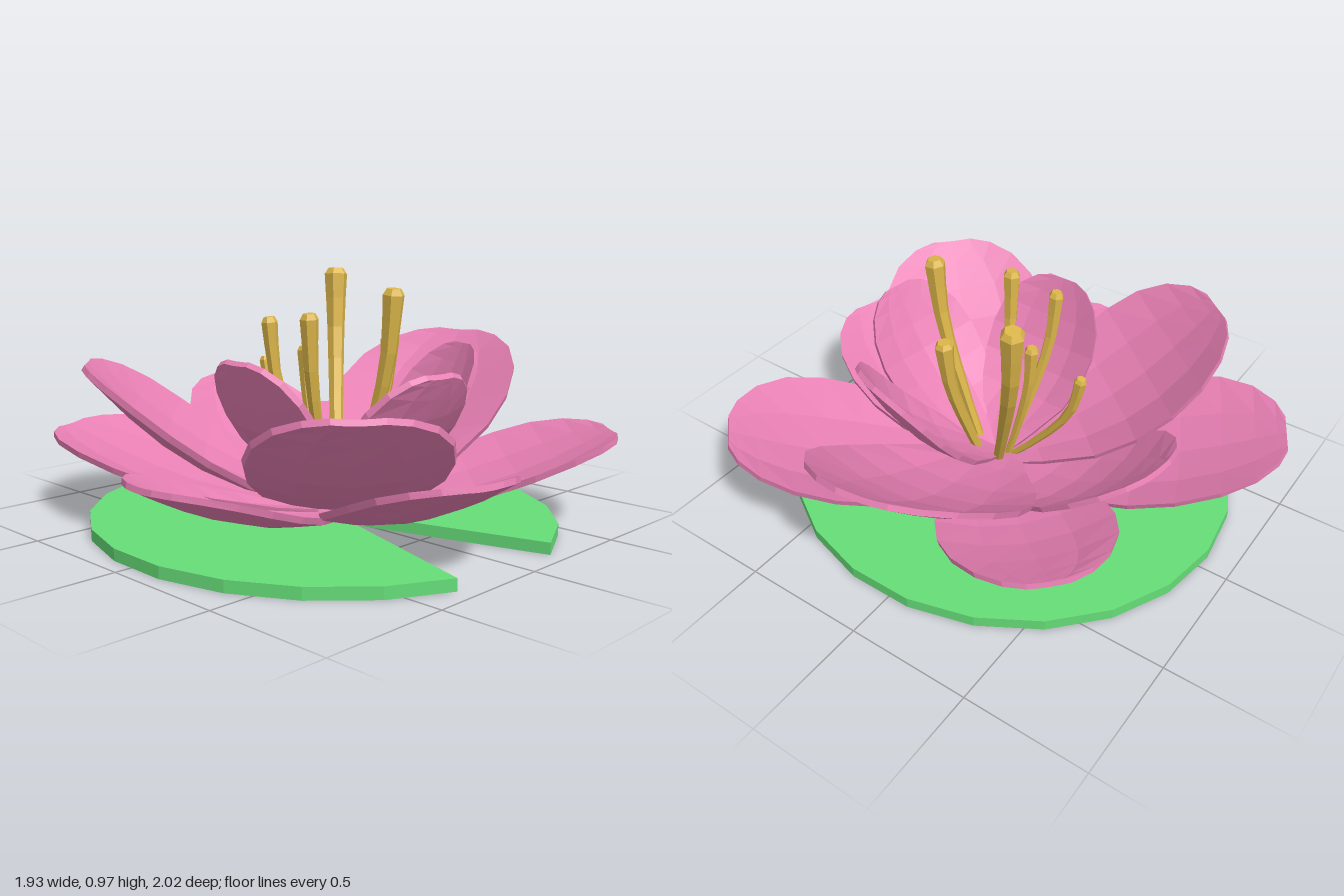
import * as THREE from 'three';

const V = (x, y, z) => new THREE.Vector3(x, y, z);
const UP = V(0, 1, 0);
const mat = (color) => new THREE.MeshStandardMaterial({ color, flatShading: true });

// Skin a row of closed rings (counter-clockwise about the direction of travel) and cap both ends.
function loft(rings) {
  const pos = [], idx = [], n = rings[0].length;
  rings.forEach((r) => r.forEach((p) => pos.push(p.x, p.y, p.z)));
  for (let i = 0; i < rings.length - 1; i++) {
    for (let j = 0; j < n; j++) {
      const a = i * n + j, b = i * n + (j + 1) % n;
      idx.push(a, b, b + n, a, b + n, a + n);
    }
  }
  [0, rings.length - 1].forEach((row, end) => {
    const c = rings[row].reduce((s, p) => s.add(p), V(0, 0, 0)).divideScalar(n);
    const k = pos.length / 3;
    pos.push(c.x, c.y, c.z);
    for (let j = 0; j < n; j++) {
      const a = row * n + j, b = row * n + (j + 1) % n;
      if (end) idx.push(k, a, b); else idx.push(k, b, a);
    }
  });
  const g = new THREE.BufferGeometry();
  g.setAttribute('position', new THREE.Float32BufferAttribute(pos, 3));
  g.setIndex(idx);
  g.computeVertexNormals();
  return g;
}

// Petal outline: [fraction of length, fraction of half width]
const OUTLINE = [[0, 0.25], [0.16, 0.52], [0.34, 0.83], [0.5, 0.97], [0.65, 1],
  [0.79, 0.92], [0.9, 0.73], [0.97, 0.48], [1, 0.24]];

// Cupped petal from base to tip; sag bends the midline down, edges curl up.
function petalGeometry(base, tip, halfWidth, sag) {
  const axis = tip.clone().sub(base);
  const u = axis.clone().normalize();
  const s = UP.clone().cross(u).normalize();
  const n = u.clone().cross(s);
  const cols = 4, thick = 0.022;
  const rings = OUTLINE.map(([t, f]) => {
    const w = halfWidth * f;
    const mid = base.clone().addScaledVector(axis, t).addScaledVector(n, -sag * Math.sin(Math.PI * t));
    const at = (v, drop) => {
      const p = mid.clone().addScaledVector(s, w * v).addScaledVector(n, 0.22 * w * f * v * v - drop);
      p.y = Math.max(p.y, 0.07 - drop);
      return p;
    };
    const ring = [];
    for (let j = 0; j <= cols; j++) ring.push(at(1 - 2 * j / cols, 0));
    for (let j = 0; j <= cols; j++) ring.push(at((2 * j / cols - 1) * 0.98, thick));
    return ring;
  });
  return loft(rings);
}

// Hexagonal stamen that leans outward, straightens and swells towards its head.
function stamenGeometry(tip, r) {
  const c = V(-0.04, 0.06, 0.11);
  const out = V(tip.x - c.x, 0, tip.z - c.z);
  const foot = c.clone().addScaledVector(out.clone().normalize(), 0.06);
  const at = (k, h) => foot.clone().lerp(tip, k).setY(tip.y * h);
  const curve = new THREE.CatmullRomCurve3([foot, at(0.52, 0.42), at(0.88, 0.72), tip]);
  const stages = [[0, 0.5], [0.2, 0.55], [0.4, 0.65], [0.55, 0.72], [0.7, 0.8], [0.85, 0.92], [0.97, 1.05], [1, 0.7]];
  return loft(stages.map(([t, k]) => {
    const p = curve.getPoint(t), d = curve.getTangent(t);
    const a = V(1, 0, 0).cross(d).normalize(), b = d.clone().cross(a);
    return Array.from({ length: 6 }, (_, j) => {
      const th = j * Math.PI / 3;
      return p.clone().addScaledVector(a, r * k * Math.cos(th)).addScaledVector(b, r * k * Math.sin(th));
    });
  }));
}

export function createModel() {
  const model = new THREE.Group();
  const add = (name, geo, material, parent = model) => {
    const m = new THREE.Mesh(geo, material);
    m.name = name;
    parent.add(m);
    return m;
  };

  // Floating leaf with a wedge notch towards the front
  const leaf = new THREE.Shape();
  leaf.moveTo(-0.06, -0.08);
  const from = 73, sweep = 325, steps = 20;
  for (let i = 0; i <= steps; i++) {
    const a = THREE.MathUtils.degToRad(-from + sweep * i / steps);
    leaf.lineTo(-0.067 + 0.877 * Math.cos(a), -0.045 + 0.935 * Math.sin(a));
  }
  leaf.closePath();
  const pad = new THREE.ExtrudeGeometry(leaf, { depth: 0.045, bevelEnabled: false });
  pad.rotateX(-Math.PI / 2);
  add('lilyPad', pad, mat(0x66dd78));

  // Petal layers; each petal: tip x, y, z and half width
  const petalMat = mat(0xe880b4);
  const layers = [
    { name: 'outerPetal', y: 0.07, sag: 0.08, petals: [
      [-0.56, 0.32, -0.95, 0.4], [-0.95, 0.3, 0.08, 0.31], [-0.28, 0.35, 0.99, 0.31],
      [0.74, 0.36, 0.84, 0.39], [0.63, 0.31, -0.6, 0.34]] },
    { name: 'middlePetal', y: 0.08, sag: 0.11, petals: [
      [0.95, 0.67, -0.07, 0.41], [-0.76, 0.64, -0.5, 0.39],
      [-0.64, 0.58, 0.78, 0.36], [0.1, 0.49, -0.71, 0.31]] },
    { name: 'innerPetal', y: 0.09, sag: 0.09, petals: [
      [-0.12, 0.65, 0.67, 0.25], [0.47, 0.68, 0.32, 0.25], [-0.53, 0.68, 0.1, 0.25]] },
  ];
  for (const { name, y, sag, petals } of layers) {
    const layer = new THREE.Group();
    layer.name = name + 's';
    model.add(layer);
    for (const [tx, ty, tz, w] of petals) {
      const base = V(-0.04, y, 0.11).lerp(V(tx, y, tz), -0.02);
      add(name, petalGeometry(base, V(tx, ty, tz), w, sag), petalMat, layer);
    }
  }

  // Stamens; tip x, y, z and head radius
  const stamens = new THREE.Group();
  stamens.name = 'stamens';
  model.add(stamens);
  const stamenMat = mat(0xdcb64a);
  [[0.25, 0.97, -0.18, 0.046], [-0.03, 0.925, 0.385, 0.04], [-0.25, 0.835, 0.17, 0.034],
    [0.175, 0.725, 0.19, 0.037], [-0.255, 0.81, -0.04, 0.03], [-0.05, 0.62, -0.29, 0.025],
    [-0.04, 0.68, -0.07, 0.029]].forEach(([x, y, z, r]) =>
    add('stamen', stamenGeometry(V(x, y, z), r), stamenMat, stamens));

  return model;
}
